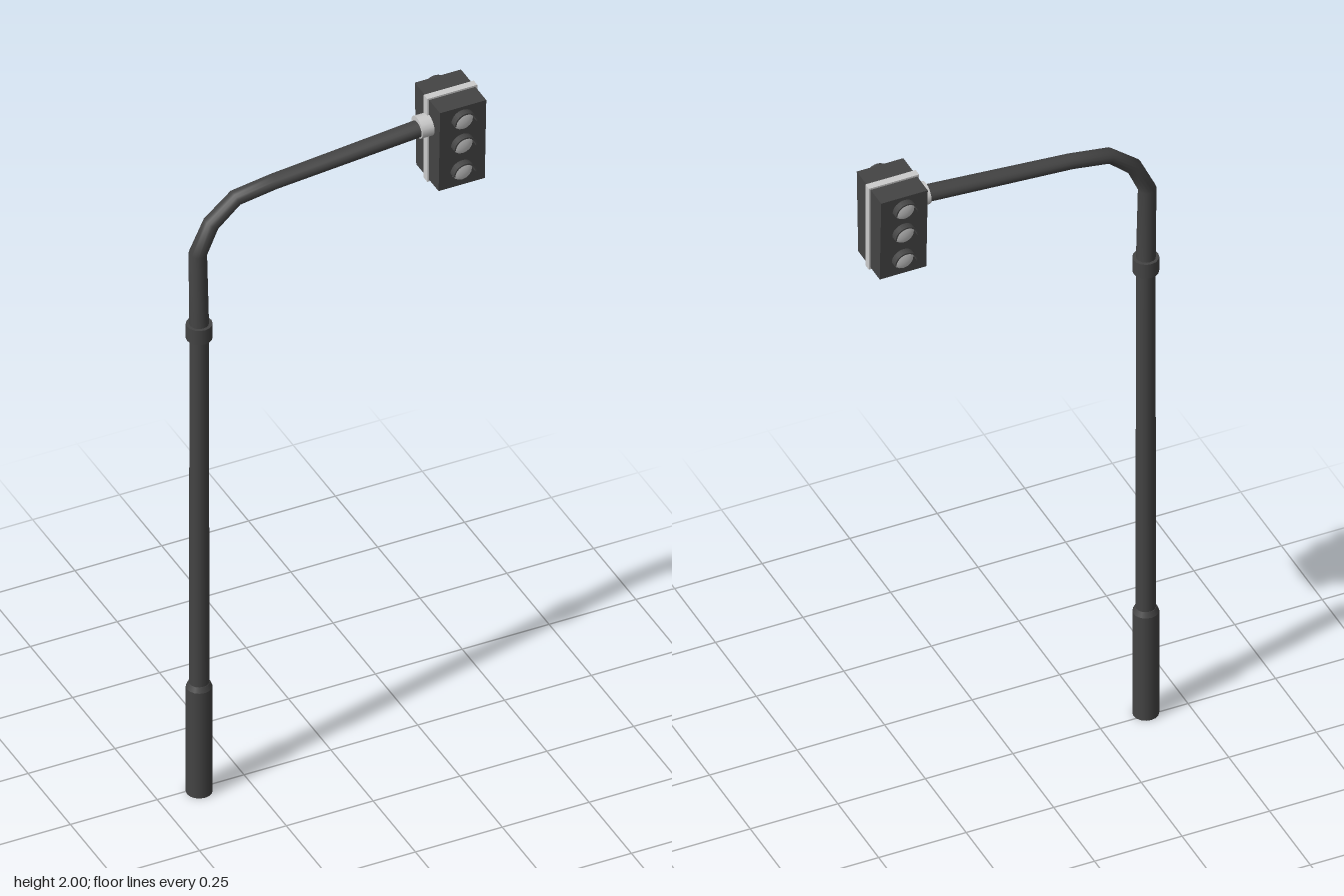
import * as THREE from 'three';

const dark = new THREE.MeshStandardMaterial({ color: 0x444444 });
const darkFlat = new THREE.MeshStandardMaterial({ color: 0x444444, side: THREE.DoubleSide });
const grey = new THREE.MeshStandardMaterial({ color: 0xcccccc });

const POLE_X = -0.385, POLE_Z = 0.012;
const HEAD_X = 0.346, HEAD_Z = -0.003, HEAD_BOTTOM = 1.74, HEAD_TOP = 1.995;

function add(parent, name, geometry, material, x = 0, y = 0, z = 0) {
  const mesh = new THREE.Mesh(geometry, material);
  mesh.name = name;
  mesh.position.set(x, y, z);
  parent.add(mesh);
  return mesh;
}

// Mitred tube through stations [x, y, z, radius in the xy plane, radius in z]
function sweep(stations, sides) {
  const positions = [], index = [];
  const points = stations.map(s => new THREE.Vector2(s[0], s[1]));
  stations.forEach(([x, y, z, r, rz], i) => {
    const before = points[Math.max(i - 1, 0)], after = points[Math.min(i + 1, points.length - 1)];
    const dir = after.clone().sub(before).normalize();
    for (let j = 0; j < sides; j++) {
      const a = j / sides * Math.PI * 2;
      const across = Math.cos(a) * r;
      positions.push(x + dir.y * across, y - dir.x * across, z - Math.sin(a) * rz);
      if (i === 0) continue;
      const k = (j + 1) % sides, lo = (i - 1) * sides, hi = i * sides;
      index.push(lo + j, lo + k, hi + j, lo + k, hi + k, hi + j);
    }
  });
  const geometry = new THREE.BufferGeometry();
  geometry.setAttribute('position', new THREE.Float32BufferAttribute(positions, 3));
  geometry.setIndex(index);
  geometry.computeVertexNormals();
  return geometry;
}

// Half depth of the signal housing, narrowing towards its foot
function halfDepth(y) {
  return THREE.MathUtils.mapLinear(y, HEAD_BOTTOM, HEAD_TOP, 0.066, 0.075);
}

function hoodGeometry() {
  const shape = new THREE.Shape();
  shape.absarc(0, 0, 0.033, 0, Math.PI, false);
  shape.absarc(0, 0, 0.029, Math.PI, 0, true);
  return new THREE.ExtrudeGeometry(shape, { depth: 0.03, bevelEnabled: false, curveSegments: 8 });
}

export function createModel() {
  const model = new THREE.Group();
  model.name = 'trafficLight';

  // Pole: thick base with a small shoulder, shaft and collar
  const pole = new THREE.Group();
  pole.name = 'pole';
  pole.position.set(POLE_X, 0, POLE_Z);
  model.add(pole);
  add(pole, 'base', new THREE.CylinderGeometry(0.035, 0.035, 0.335, 16), dark, 0, 0.1675, 0);
  add(pole, 'baseShoulder', new THREE.CylinderGeometry(0.028, 0.035, 0.015, 16), dark, 0, 0.3425, 0);
  add(pole, 'shaft', new THREE.CylinderGeometry(0.025, 0.027, 1.12, 16), dark, 0, 0.9, 0);
  add(pole, 'collar', new THREE.CylinderGeometry(0.035, 0.035, 0.045, 16), dark, 0, 1.473, 0);

  // Bent arm reaching over to the signal head
  add(model, 'arm', sweep([
    [POLE_X, 1.47, POLE_Z, 0.026, 0.026],
    [-0.389, 1.72, POLE_Z, 0.024, 0.025],
    [-0.351, 1.803, POLE_Z, 0.022, 0.024],
    [-0.28, 1.863, 0.011, 0.02, 0.024],
    [-0.17, 1.88, 0.011, 0.019, 0.024],
    [0.27, 1.916, 0.007, 0.021, 0.027],
  ], 16), dark);
  const connector = add(model, 'connector', new THREE.CylinderGeometry(0.03, 0.03, 0.045, 16), grey, 0.2675, 1.918, 0.006);
  connector.rotation.z = Math.PI / 2;
  connector.scale.z = 1.12;

  // Signal head: tapered housing with a pale band around its middle
  const head = new THREE.Group();
  head.name = 'signalHead';
  head.position.set(HEAD_X, 0, HEAD_Z);
  model.add(head);
  const box = new THREE.BoxGeometry(0.133, HEAD_TOP - HEAD_BOTTOM, 2);
  box.translate(0, (HEAD_TOP + HEAD_BOTTOM) / 2, 0);
  const p = box.attributes.position;
  for (let i = 0; i < p.count; i++) p.setZ(i, p.getZ(i) * halfDepth(p.getY(i)));
  box.computeVertexNormals();
  add(head, 'housing', box, dark);
  add(head, 'band', new THREE.BoxGeometry(0.144, 0.265, 0.021), grey, 0, 1.8675, 0);

  // Three hooded lamps on the front, repeated on the back
  const hood = hoodGeometry();
  const lens = new THREE.SphereGeometry(0.029, 16, 6, 0, Math.PI * 2, 0, Math.PI / 2);
  lens.rotateX(Math.PI / 2);
  lens.scale(1, 1, 0.25);
  for (const side of ['front', 'back']) {
    const lamps = new THREE.Group();
    lamps.name = side + 'Lamps';
    lamps.rotation.y = side === 'front' ? 0 : Math.PI;
    head.add(lamps);
    for (const y of [1.952, 1.873, 1.787]) {
      const face = halfDepth(y);
      add(lamps, 'lens', lens, grey, 0, y, face);
      add(lamps, 'hood', hood, darkFlat, 0, y, face - 0.009);
    }
  }
  return model;
}
